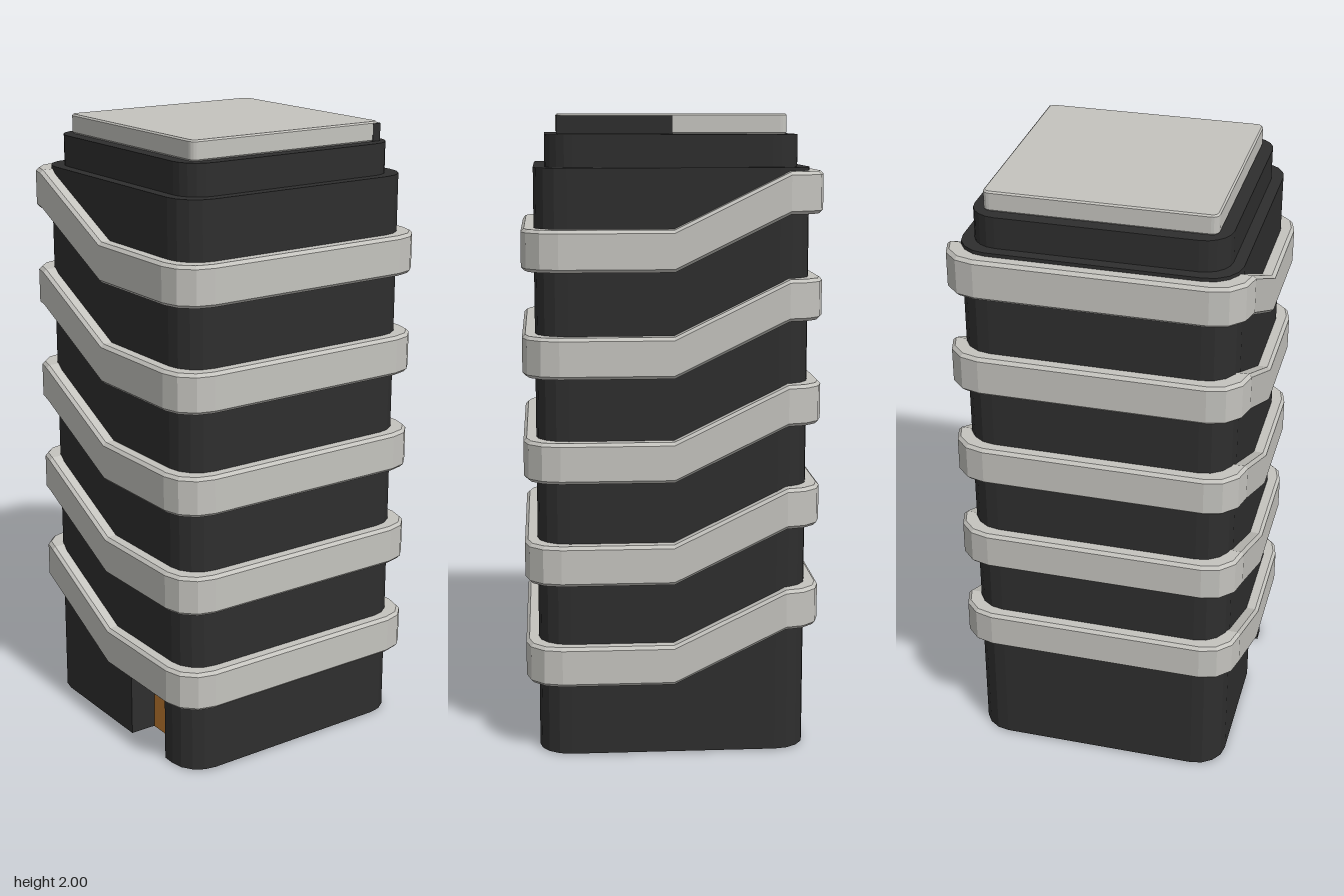
import * as THREE from 'three';

const flat = (name, color, extra = {}) => {
  const m = new THREE.MeshStandardMaterial({ color, ...extra });
  m.name = name;
  return m;
};

// Rounded square in (x, z); extra points can be inserted midway along the -x and +x sides
function outline(half, radius, seg, leftPoints = [], rightPoints = []) {
  const c = half - radius, pts = [];
  const signs = [[1, 1], [-1, 1], [-1, -1], [1, -1]];
  signs.forEach(([sx, sz], k) => {
    for (let i = 0; i <= seg; i++) {
      const a = (k + i / seg) * Math.PI / 2;
      pts.push(new THREE.Vector2(sx * c + radius * Math.cos(a), sz * c + radius * Math.sin(a)));
    }
    const extra = k === 1 ? leftPoints : k === 3 ? rightPoints : [];
    extra.forEach(([x, z]) => pts.push(new THREE.Vector2(x, z)));
  });
  return pts;
}

// Vertical prism from a plan outline
function prism(pts, y0, y1, bevel = 0) {
  const g = new THREE.ExtrudeGeometry(new THREE.Shape(pts), {
    depth: y1 - y0 - 2 * bevel, bevelEnabled: bevel > 0, bevelSize: bevel,
    bevelThickness: bevel, bevelOffset: -bevel, bevelSegments: 1,
  });
  return g.rotateX(Math.PI / 2).translate(0, y1 - bevel, 0);
}

// Band around the tower: level at the front, rising along the sides to the back
function bandGeometry() {
  const section = [[0.4, 0], [0.453, 0], [0.463, 0.01], [0.463, 0.118], [0.453, 0.128], [0.4, 0.128]];
  const corner = 0.35, rise = 0.172, pos = [], idx = [];
  const loops = section.map(([h]) => outline(h, h - corner, 3, [[-h, 0]], [[h, 0]]));
  const n = loops[0].length, m = section.length;
  for (let j = 0; j < n; j++) {
    for (let s = 0; s < m; s++) {
      const p = loops[s][j];
      pos.push(p.x, section[s][1] + rise * THREE.MathUtils.clamp(-p.y / corner, 0, 1), p.y);
    }
  }
  for (let j = 0; j < n; j++) {
    for (let s = 0; s < m; s++) {
      const j2 = (j + 1) % n, s2 = (s + 1) % m;
      const a = j * m + s, b = j * m + s2, c = j2 * m + s, d = j2 * m + s2;
      idx.push(a, b, c, b, d, c);
    }
  }
  const g = new THREE.BufferGeometry();
  g.setAttribute('position', new THREE.Float32BufferAttribute(pos, 3));
  g.setIndex(idx);
  const out = g.toNonIndexed();
  out.computeVertexNormals();
  return out;
}

export function createModel() {
  const group = new THREE.Group();
  const dark = flat('charcoal', 0x2e2e2e);
  const light = flat('light concrete', 0xc4c3be);
  const brown = flat('door brown', 0xc07a30);
  const add = (name, geo, mat, y = 0) => {
    const mesh = new THREE.Mesh(geo, mat);
    mesh.name = name;
    mesh.position.y = y;
    group.add(mesh);
    return mesh;
  };

  // Ground storey with an entrance recess in the -x side
  const half = 0.423, radius = 0.1, doorTop = 0.26;
  const recess = [[-half, 0.28], [-0.33, 0.28], [-0.33, 0.08], [-half, 0.08]];
  const plan = outline(half, radius, 4, recess);
  add('groundStorey', prism(plan, 0.003, doorTop), dark);
  add('floor', new THREE.ShapeGeometry(new THREE.Shape(plan)).rotateX(Math.PI / 2), light);
  const door = add('door', new THREE.BoxGeometry(0.006, doorTop - 0.004, 0.198), brown);
  door.position.set(-0.332, doorTop / 2, 0.18);

  // Tower shaft and stepped top
  add('shaft', prism(outline(half, radius, 4), doorTop, 1.84), dark);
  add('upperStep', prism(outline(0.388, 0.085, 5), 1.84, 1.938), dark);

  // Roof cap with a dark panel on its front corner
  add('roofCap', prism(outline(0.35, 0.022, 4), 1.938, 2, 0.005), light);
  const panel = add('roofPanel', new THREE.BoxGeometry(0.029, 0.055, 0.351), dark);
  panel.position.set(0.3365, 1.9665, 0.1755);

  // Five balcony bands
  const band = bandGeometry();
  for (let i = 0; i < 5; i++) add('balconyBand' + (i + 1), band, light, 0.235 + i * 0.3235);

  return group;
}
